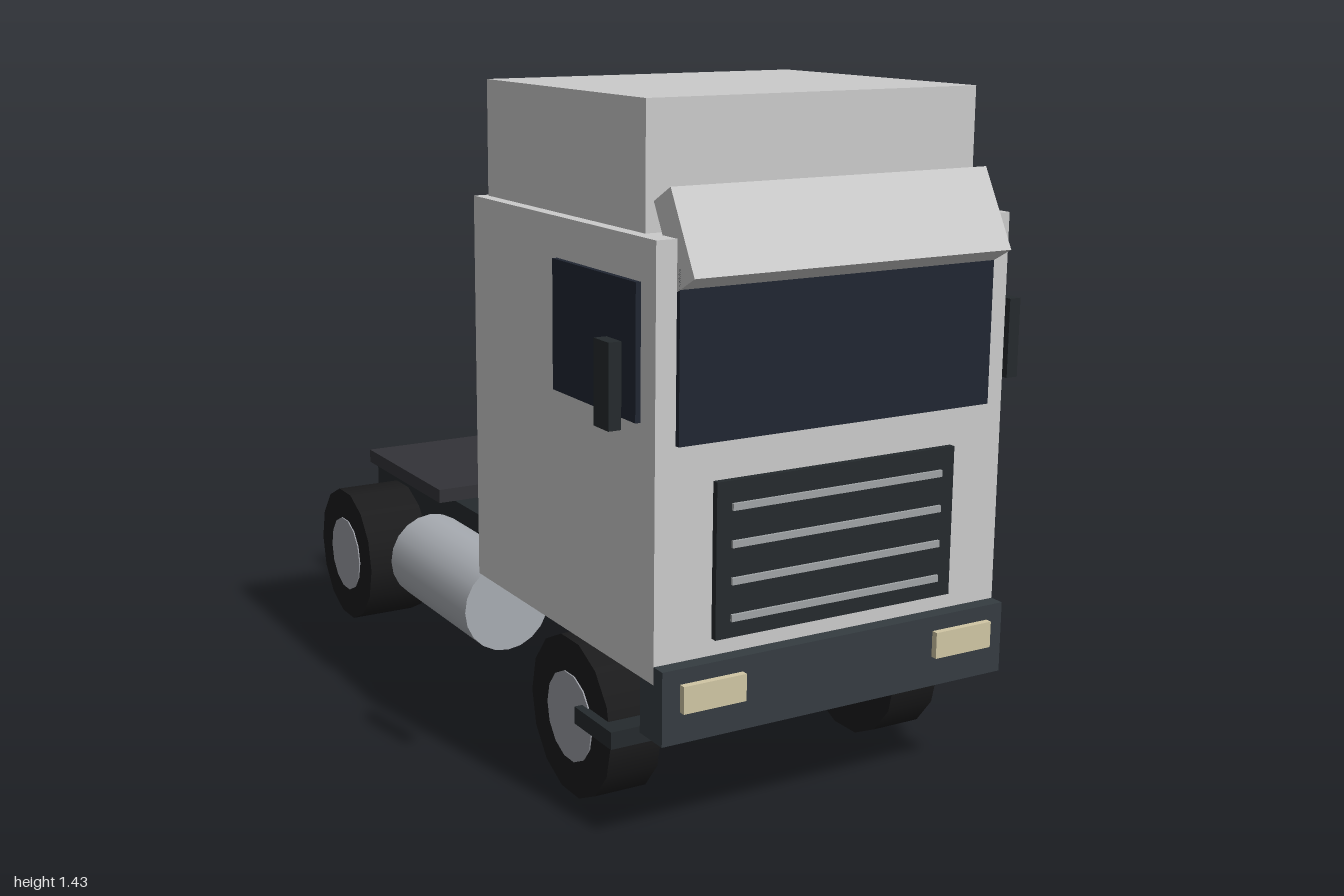
import * as THREE from 'three';

const paint = (color) => new THREE.MeshStandardMaterial({ color });
const M = {
  body: paint(0xcccccc), glass: paint(0x202632), dark: paint(0x252a2d), bumper: paint(0x353c41),
  slat: paint(0xa0a4a6), lamp: paint(0xd0c6a4), tyre: paint(0x1b1b1c), hub: paint(0x9a9ca3),
  tank: paint(0xa8acb2), plate: paint(0x333338),
};

export function createModel() {
  const truck = new THREE.Group();
  truck.name = 'tractorTruck';

  const add = (name, geometry, material, x, y, z) => {
    const mesh = new THREE.Mesh(geometry, material);
    mesh.name = name;
    mesh.position.set(x, y, z);
    truck.add(mesh);
    return mesh;
  };
  // Box given by its ranges along each axis
  const box = (name, material, [x0, x1], [y0, y1], [z0, z1]) =>
    add(name, new THREE.BoxGeometry(x1 - x0, y1 - y0, z1 - z0), material,
      (x0 + x1) / 2, (y0 + y1) / 2, (z0 + z1) / 2);
  // Same box on both sides of the truck
  const boxPair = (name, material, [x0, x1], y, z) => {
    box(name + 'Left', material, [x0, x1], y, z);
    box(name + 'Right', material, [-x1, -x0], y, z);
  };

  // Cab and raised roof
  box('cab', M.body, [-0.407, 0.407], [0.35, 1.19], [0.18, 0.94]);
  box('roof', M.body, [-0.38, 0.38], [1.19, 1.435], [0.195, 0.855]);

  // Tilted sun visor
  add('visor', new THREE.BoxGeometry(0.726, 0.177, 0.067), M.body, 0, 1.187, 0.928).rotation.x = -0.5;

  // Windows and mirrors
  box('windshield', M.glass, [-0.363, 0.363], [0.807, 1.138], [0.93, 0.951]);
  boxPair('sideWindow', M.glass, [0.396, 0.418], [0.845, 1.108], [0.56, 0.887]);
  boxPair('mirror', M.dark, [0.455, 0.482], [0.84, 1.005], [0.845, 0.9]);

  // Grille with slats
  box('grille', M.dark, [-0.28, 0.28], [0.42, 0.73], [0.93, 0.954]);
  for (let i = 0; i < 4; i++) {
    const y = 0.46 + i * 0.073;
    box('grilleSlat' + (i + 1), M.slat, [-0.247, 0.247], [y - 0.007, y + 0.007], [0.945, 0.96]);
  }

  // Bumper, headlights and steps
  box('bumper', M.bumper, [-0.407, 0.407], [0.237, 0.386], [0.89, 0.972]);
  boxPair('headlight', M.lamp, [0.228, 0.368], [0.3, 0.355], [0.96, 0.986]);
  boxPair('step', M.dark, [0.263, 0.428], [0.177, 0.213], [0.665, 0.815]);

  // Frame and coupling plate
  box('chassis', M.dark, [-0.165, 0.165], [0.2, 0.315], [-1, 0.886]);
  box('couplingPlate', M.plate, [-0.262, 0.262], [0.353, 0.387], [-0.815, -0.358]);

  // Fuel tanks and wheels, mirrored; rear tyres are wider
  const axles = [['front', 0.607, 0.117], ['rear', -0.634, 0.162]];
  for (const [side, s] of [['Left', 1], ['Right', -1]]) {
    add('fuelTank' + side, new THREE.CylinderGeometry(0.106, 0.106, 0.428, 20), M.tank,
      s * 0.312, 0.24, -0.089).rotation.x = Math.PI / 2;
    for (const [axle, z, width] of axles) {
      const x = s * (0.407 - width / 2);
      add(axle + 'Tyre' + side, new THREE.CylinderGeometry(0.1705, 0.1705, width, 14), M.tyre,
        x, 0.167, z).rotation.z = Math.PI / 2;
      add(axle + 'Hub' + side, new THREE.CylinderGeometry(0.095, 0.095, width + 0.006, 14), M.hub,
        x, 0.167, z).rotation.z = Math.PI / 2;
    }
  }
  return truck;
}
